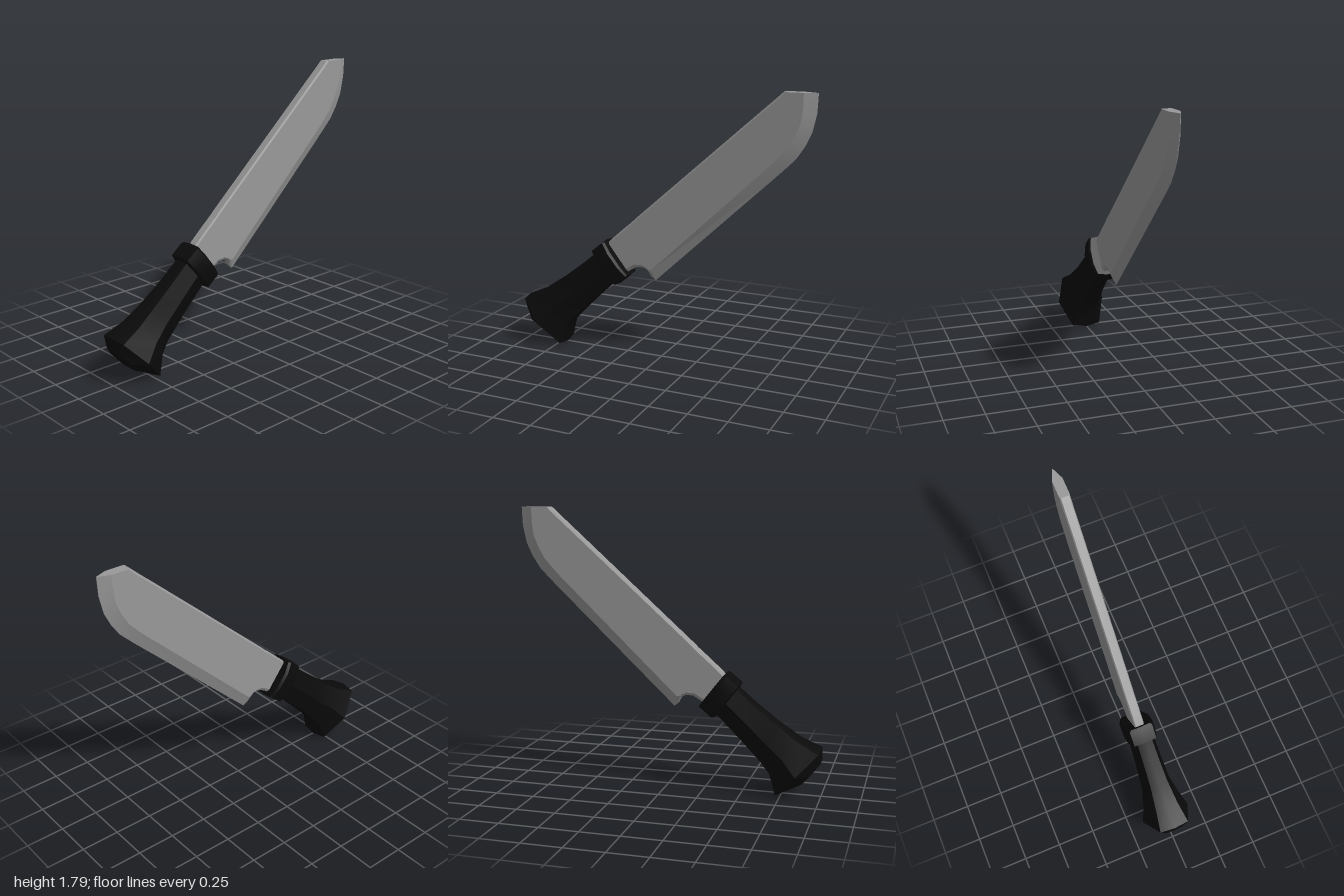
import * as THREE from 'three';
import { toCreasedNormals } from 'three/addons/utils/BufferGeometryUtils.js';

// Skins a list of equal-sized rings of [x, y, z] points and closes both ends.
function loft(rings, crease) {
  const pos = [];
  const tri = (...pts) => pts.forEach((p) => pos.push(...p));
  const n = rings[0].length;
  const centre = (r) => [0, 1, 2].map((k) => r.reduce((s, p) => s + p[k], 0) / n);
  const first = rings[0], last = rings[rings.length - 1];
  const c0 = centre(first), c1 = centre(last);
  for (let j = 0; j < n; j++) {
    const k = (j + 1) % n;
    for (let i = 0; i < rings.length - 1; i++) {
      const a = rings[i][j], b = rings[i][k], c = rings[i + 1][k], d = rings[i + 1][j];
      tri(a, b, c);
      tri(a, c, d);
    }
    tri(c0, first[k], first[j]);
    tri(c1, last[j], last[k]);
  }
  const geo = new THREE.BufferGeometry();
  geo.setAttribute('position', new THREE.Float32BufferAttribute(pos, 3));
  return toCreasedNormals(geo, crease);
}

const mix = (a, b, t) => a + (b - a) * t;

// Ring from a top point to a bottom point; section lists [fraction down, width factor].
function gripRing([tx, ty, bx, by, w], section) {
  const side = section.map(([t, f]) => [mix(tx, bx, t), mix(ty, by, t), f * w]);
  const back = side.slice(1, -1).reverse().map(([x, y, z]) => [x, y, -z]);
  return [...side, ...back];
}

// Blade section: chamfered spine, flat sides, bevel down to the cutting edge.
function bladeRing([sx, sy, ex, ey, bevel, edge]) {
  const T = 0.033;
  const len = Math.hypot(ex - sx, ey - sy);
  const at = (d, z) => [mix(sx, ex, d / len), mix(sy, ey, d / len), z];
  const half = [at(0, 0.026), at(0.012, T), at(len - bevel, T), at(len, edge)];
  return [...half, ...half.slice().reverse().map(([x, y, z]) => [x, y, -z])];
}

export function createModel() {
  const steel = new THREE.MeshStandardMaterial({ color: 0x999999 });
  steel.name = 'steelGrey';
  const black = new THREE.MeshStandardMaterial({ color: 0x0a0a0a });
  black.name = 'gripBlack';

  const group = new THREE.Group();
  group.name = 'knife';
  const add = (name, geo, mat) => {
    const mesh = new THREE.Mesh(geo, mat);
    mesh.name = name;
    group.add(mesh);
  };

  // Blade: spine x, y, edge x, y, bevel depth, edge half thickness
  const blade = [
    [-0.40, 0.72, -0.27, 0.54, 0.02, 0.022],
    [-0.355, 0.775, -0.22, 0.58, 0.02, 0.022],
    [-0.31, 0.815, -0.17, 0.61, 0.02, 0.022],
    [-0.26, 0.86, -0.12, 0.612, 0.02, 0.022],
    [-0.23, 0.885, -0.085, 0.59, 0.03, 0.018],
    [-0.19, 0.92, -0.067, 0.552, 0.055, 0.01],
    [-0.17, 0.94, -0.04, 0.53, 0.075, 0.002],
    [0.60, 1.625, 0.786, 1.31, 0.075, 0.002],
    [0.68, 1.696, 0.877, 1.40, 0.08, 0.002],
    [0.73, 1.74, 0.93, 1.48, 0.085, 0.002],
    [0.76, 1.767, 0.97, 1.565, 0.085, 0.002],
    [0.785, 1.79, 0.995, 1.68, 0.085, 0.002],
    [0.797, 1.8, 1.0, 1.8, 0.08, 0.002],
  ];
  add('blade', loft(blade.map(bladeRing), 0.35), steel);

  // Handle: top x, y, bottom x, y, half width, flaring to the pommel
  const oval = [[0, 0], [0.04, 0.6], [0.5, 1], [0.96, 0.6], [1, 0]];
  const handle = [
    [-1.0, 0.233, -0.877, 0.083, 0.1],
    [-1.0, 0.313, -0.711, 0.005, 0.167],
    [-0.866, 0.372, -0.674, 0.136, 0.13],
    [-0.711, 0.479, -0.62, 0.2, 0.1],
    [-0.58, 0.58, -0.48, 0.345, 0.09],
    [-0.45, 0.69, -0.32, 0.5, 0.083],
  ];
  add('handle', loft(handle.map((r) => gripRing(r, oval)), 0.5), black);

  // Collar: boxy band between handle and blade
  const boxy = [[0, 0], [0.03, 0.78], [0.3, 1], [0.7, 1], [0.97, 0.78], [1, 0]];
  const collar = [
    [-0.465, 0.675, -0.335, 0.495, 0.083],
    [-0.478, 0.703, -0.3, 0.478, 0.098],
    [-0.4, 0.766, -0.222, 0.542, 0.1],
    [-0.385, 0.772, -0.214, 0.55, 0.085],
  ];
  add('collar', loft(collar.map((r) => gripRing(r, boxy)), 0.5), black);

  return group;
}
